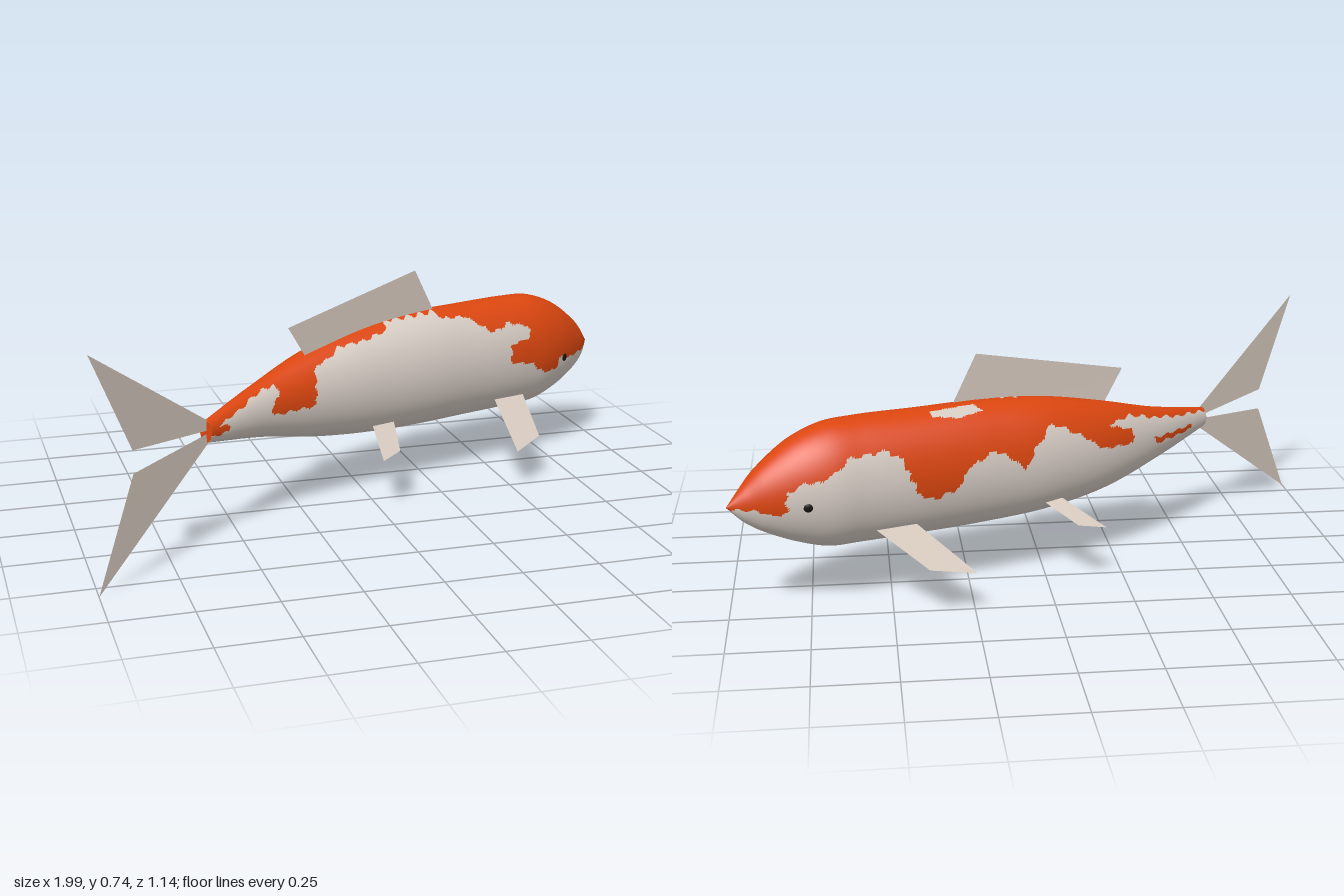
import * as THREE from 'three';

// Body stations from tail to nose: x, z, top y, bottom y
const STATIONS = [
  [-0.61, 0.25, 0.407, 0.337], [-0.4, 0.075, 0.465, 0.283], [-0.2, -0.05, 0.528, 0.228],
  [0, -0.14, 0.572, 0.198], [0.2, -0.21, 0.587, 0.187], [0.4, -0.28, 0.588, 0.185],
  [0.6, -0.345, 0.588, 0.185], [0.7, -0.38, 0.58, 0.188], [0.8, -0.415, 0.54, 0.22],
  [0.9, -0.455, 0.463, 0.272], [0.945, -0.477, 0.413, 0.308], [0.99, -0.5, 0.36, 0.36],
];
const FLATNESS = 0.68;

// Lower border of the orange saddle on each flank, as x, y
const LEFT_BORDER = [
  [1.1, 0.36], [0.95, 0.352], [0.86, 0.348], [0.8, 0.36], [0.78, 0.32], [0.73, 0.32], [0.65, 0.37],
  [0.575, 0.38], [0.575, 0.445], [0.66, 0.46], [0.65, 0.5], [0.57, 0.52], [0.515, 0.5], [0.48, 0.51],
  [0.435, 0.535], [0.41, 0.56], [0.31, 0.565], [0.29, 0.584], [0.09, 0.58], [0.08, 0.555], [0, 0.54],
  [-0.1, 0.53], [-0.15, 0.5], [-0.2, 0.49], [-0.205, 0.365], [-0.36, 0.365], [-0.37, 0.395],
  [-0.34, 0.42], [-0.35, 0.457], [-0.4, 0.45], [-0.5, 0.41], [-0.57, 0.388], [-0.52, 0.375],
  [-0.53, 0.36], [-0.7, 0.355], [-0.7, 0.9], [1.1, 0.9],
];
const RIGHT_BORDER = [
  [1.1, 0.36], [0.9, 0.35], [0.85, 0.33], [0.81, 0.34], [0.81, 0.4], [0.75, 0.43], [0.7, 0.43],
  [0.62, 0.49], [0.51, 0.5], [0.46, 0.47], [0.43, 0.4], [0.41, 0.35], [0.36, 0.33], [0.29, 0.35],
  [0.25, 0.42], [0.17, 0.455], [0.12, 0.43], [0.07, 0.38], [0.03, 0.45], [-0.02, 0.51], [-0.12, 0.46],
  [-0.2, 0.4], [-0.31, 0.39], [-0.31, 0.43], [-0.22, 0.47], [-0.3, 0.477], [-0.4, 0.445],
  [-0.5, 0.42], [-0.7, 0.385], [-0.7, 0.9], [1.1, 0.9],
];
const RIGHT_SPOT = [[-0.39, 0.38], [-0.41, 0.36], [-0.56, 0.36], [-0.55, 0.374], [-0.47, 0.378]];
const WHITE_SPOT = [[0.2, 0.57], [0.23, 0.585], [0.37, 0.582], [0.36, 0.57], [0.28, 0.56]];

const inside = (poly, x, y) => {
  let hit = false;
  for (let i = 0, j = poly.length - 1; i < poly.length; j = i++) {
    const [ax, ay] = poly[i], [bx, by] = poly[j];
    if ((ay > y) !== (by > y) && x < ((bx - ax) * (y - ay)) / (by - ay) + ax) hit = !hit;
  }
  return hit;
};

const isOrange = (p, leftSide) => {
  // slight waviness keeps the patch edges natural
  const x = p.x + 0.005 * Math.sin(p.y * 150 + p.x * 30);
  const y = p.y + 0.004 * Math.sin(p.x * 130);
  if (leftSide) return inside(LEFT_BORDER, x, y);
  return (inside(RIGHT_BORDER, x, y) && !inside(WHITE_SPOT, p.x, p.y)) || inside(RIGHT_SPOT, x, y);
};

const spine = new THREE.CatmullRomCurve3(STATIONS.map(([x, z, t, b]) => new THREE.Vector3(x, (t + b) / 2, z)));
const radius = new THREE.CatmullRomCurve3(STATIONS.map(([x, , t, b]) => new THREE.Vector3(x, (t - b) / 2, 0)));

// Centre, sideways direction and half height of the section at t
function section(t) {
  const tan = spine.getTangent(t).setY(0).normalize();
  return {
    centre: spine.getPoint(t), tan,
    side: new THREE.Vector3(-tan.z, 0, tan.x),
    ry: Math.max(radius.getPoint(t).y, 0.0005),
  };
}
function onSection({ centre, side, ry }, a) {
  const p = centre.clone().addScaledVector(side, Math.cos(a) * ry * FLATNESS);
  p.y += Math.sin(a) * ry;
  return p;
}

function bodyGeometry() {
  const ts = [], last = STATIONS.length - 1, around = 128;
  for (let k = 0; k < last; k++) {
    const n = Math.round((STATIONS[k + 1][0] - STATIONS[k][0]) / 0.0065);
    for (let j = 0; j < n; j++) ts.push((k + j / n) / last);
  }
  ts.push(1);
  const pts = [];
  for (const t of ts) {
    const s = section(t);
    for (let j = 0; j < around; j++) pts.push(onSection(s, (j / around) * Math.PI * 2));
  }
  const orange = [], white = [], mid = new THREE.Vector3();
  const face = (a, b, c, left) => {
    mid.copy(pts[a]).add(pts[b]).add(pts[c]).divideScalar(3);
    (isOrange(mid, left) ? orange : white).push(a, b, c);
  };
  for (let i = 0; i < ts.length - 1; i++) {
    for (let j = 0; j < around; j++) {
      const a = i * around + j, d = i * around + ((j + 1) % around);
      const left = Math.cos(((j + 0.5) / around) * Math.PI * 2) > 0;
      face(a, a + around, d + around, left);
      face(a, d + around, d, left);
    }
  }
  const g = new THREE.BufferGeometry().setFromPoints(pts);
  g.setIndex([...orange, ...white]);
  g.addGroup(0, orange.length, 0);
  g.addGroup(orange.length, white.length, 1);
  g.computeVertexNormals();
  return g;
}

// Flat four-cornered fin
function fin(name, corners, material) {
  const g = new THREE.BufferGeometry().setFromPoints(corners.map((c) => new THREE.Vector3(...c)));
  g.setIndex([0, 1, 2, 0, 2, 3]);
  g.computeVertexNormals();
  const m = new THREE.Mesh(g, material);
  m.name = name;
  return m;
}

export function createModel() {
  const mat = (name, color, side = THREE.FrontSide) => {
    const m = new THREE.MeshStandardMaterial({ color, side });
    m.name = name;
    return m;
  };
  const orange = mat('orange scales', 0xdb460f);
  const white = mat('white scales', 0xd6ccc4);
  const finMat = mat('pale fin', 0xd6c9be, THREE.DoubleSide);
  const black = mat('black eye', 0x14120f);

  const fish = new THREE.Group();
  fish.name = 'fish';

  const body = new THREE.Mesh(bodyGeometry(), [orange, white]);
  body.name = 'body';
  fish.add(body);

  // Closed end of the tail stalk
  const end = section(0);
  const cap = new THREE.Mesh(new THREE.CircleGeometry(1, 32), orange);
  cap.name = 'tailStalkEnd';
  cap.scale.set(end.ry * FLATNESS, end.ry, 1);
  cap.position.copy(end.centre);
  cap.rotation.y = Math.atan2(-end.tan.x, -end.tan.z);
  fish.add(cap);

  // Eyes, thin discs lying on the cheeks
  const head = section(7.85 / (STATIONS.length - 1));
  for (const [name, angle, s] of [['leftEye', -0.16, 1], ['rightEye', Math.PI + 0.16, -1]]) {
    const eye = new THREE.Mesh(new THREE.SphereGeometry(0.014, 16, 10), black);
    eye.name = name;
    eye.scale.z = 0.3;
    eye.position.copy(onSection(head, angle));
    const out = head.side.clone().multiplyScalar(s).addScaledVector(head.tan, 0.35);
    eye.lookAt(eye.position.clone().add(out));
    fish.add(eye);
  }

  // Fins: root corners first and last
  const fins = {
    dorsalFin: [[0.3, 0.57, -0.237], [0.215, 0.735, -0.2], [-0.285, 0.62, 0.01], [-0.22, 0.51, -0.02]],
    upperTailFin: [[-0.6, 0.405, 0.245], [-1, 0.73, 0.568], [-0.87, 0.405, 0.465], [-0.6, 0.375, 0.245]],
    lowerTailFin: [[-0.6, 0.366, 0.245], [-0.87, 0.333, 0.465], [-1, 0, 0.568], [-0.6, 0.337, 0.245]],
    leftPectoralFin: [[0.515, 0.25, -0.2], [0.505, 0.138, 0.055], [0.62, 0.157, -0.035], [0.64, 0.247, -0.245]],
    leftPelvicFin: [[0.01, 0.252, -0.02], [0, 0.18, 0.138], [0.075, 0.191, 0.08], [0.095, 0.25, -0.055]],
    rightPectoralFin: [[0.42, 0.25, -0.4], [0.245, 0.138, -0.553], [0.39, 0.16, -0.57], [0.545, 0.25, -0.445]],
    rightPelvicFin: [[-0.06, 0.25, -0.21], [-0.187, 0.183, -0.32], [-0.095, 0.197, -0.33], [0.01, 0.25, -0.22]],
  };
  for (const [name, corners] of Object.entries(fins)) fish.add(fin(name, corners, finMat));
  return fish;
}
